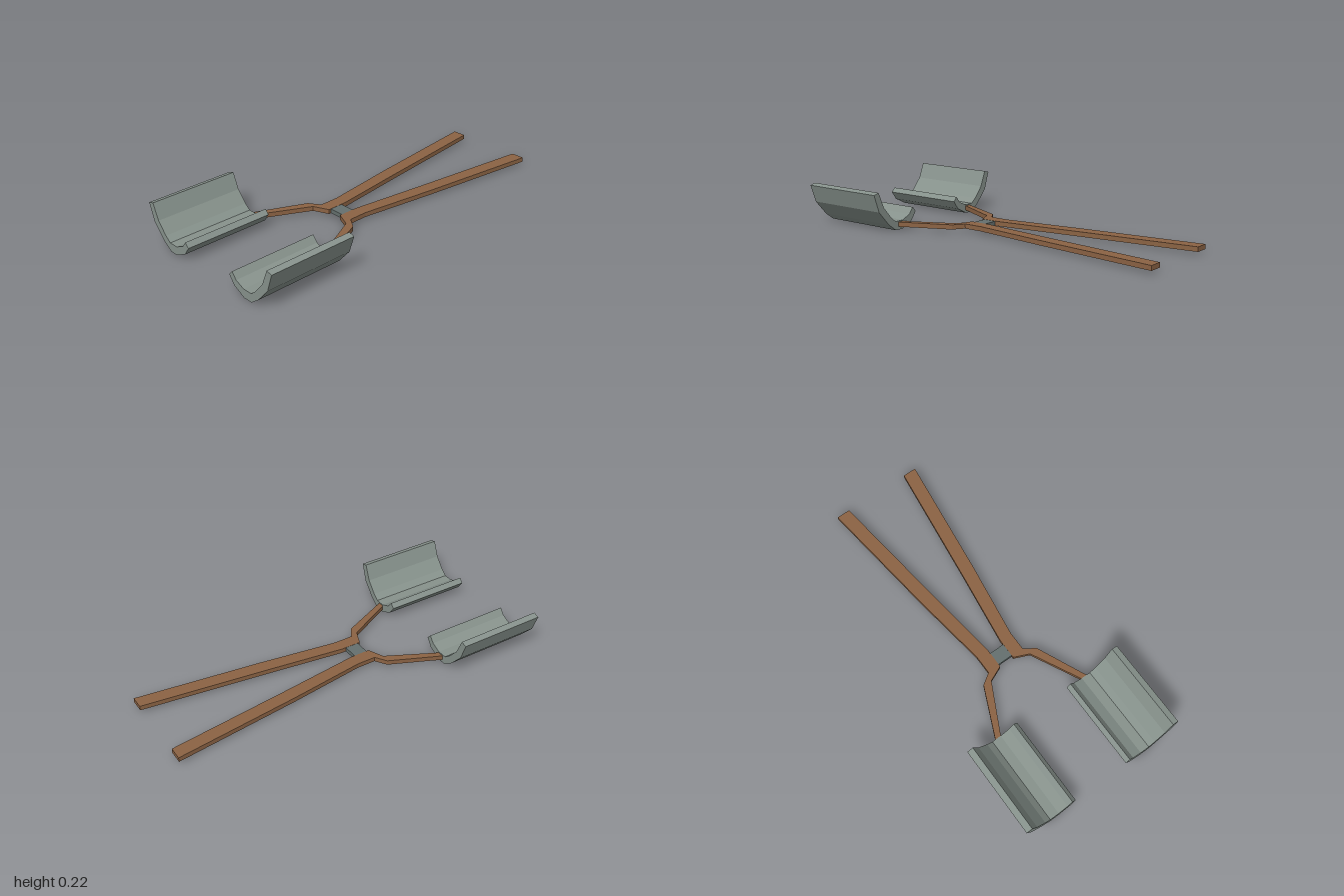
import * as THREE from 'three';

const wood = new THREE.MeshStandardMaterial({ color: 0x8b6344, flatShading: true });
const steel = new THREE.MeshStandardMaterial({ color: 0x87928c, flatShading: true });
const darkSteel = new THREE.MeshStandardMaterial({ color: 0x65706e, flatShading: true });

// Cross-section of the scoop in x, y
const scoopProfile = [
  [0.466, 0.21], [0.433, 0.115], [0.363, 0.037], [0.312, 0], [0.26, 0], [0.19, 0.035], [0.158, 0.08],
  [0.18, 0.104], [0.207, 0.07], [0.26, 0.047], [0.312, 0.047], [0.345, 0.073], [0.398, 0.135], [0.433, 0.219],
];

// Plan outline of the handle and its bent shank in x, z
const handleOutline = [
  [0.183, -1], [0.257, -1], [0.172, -0.32], [0.111, 0.1], [0.111, 0.205], [0.172, 0.245], [0.294, 0.517],
  [0.26, 0.517], [0.125, 0.25], [0.042, 0.214], [0.042, 0.1], [0.098, -0.32],
];

function extrude(points, depth) {
  const shape = new THREE.Shape(points.map(([x, y]) => new THREE.Vector2(x, y)));
  return new THREE.ExtrudeGeometry(shape, { depth, bevelEnabled: false });
}

function addPart(group, name, geometry, material) {
  const mesh = new THREE.Mesh(geometry, material);
  mesh.name = name;
  group.add(mesh);
  return mesh;
}

export function createModel() {
  const group = new THREE.Group();
  group.name = 'scoopTongs';

  for (const [side, s] of [['left', 1], ['right', -1]]) {
    // Curved scoop along z
    const scoop = extrude(scoopProfile.map(([x, y]) => [s * x, y]), 0.485);
    scoop.translate(0, 0, 0.515);
    addPart(group, side + 'Scoop', scoop, steel);

    // Flat handle lying in the ground plane
    const handle = extrude(handleOutline.map(([x, z]) => [s * x, -z]), 0.025);
    handle.rotateX(-Math.PI / 2);
    handle.translate(0, 0.016, 0);
    addPart(group, side + 'Handle', handle, wood);
  }

  // Bridge joining the two handles
  const bridge = addPart(group, 'bridge', new THREE.BoxGeometry(0.09, 0.023, 0.075), darkSteel);
  bridge.position.set(0, 0.0285, 0.163);

  return group;
}
